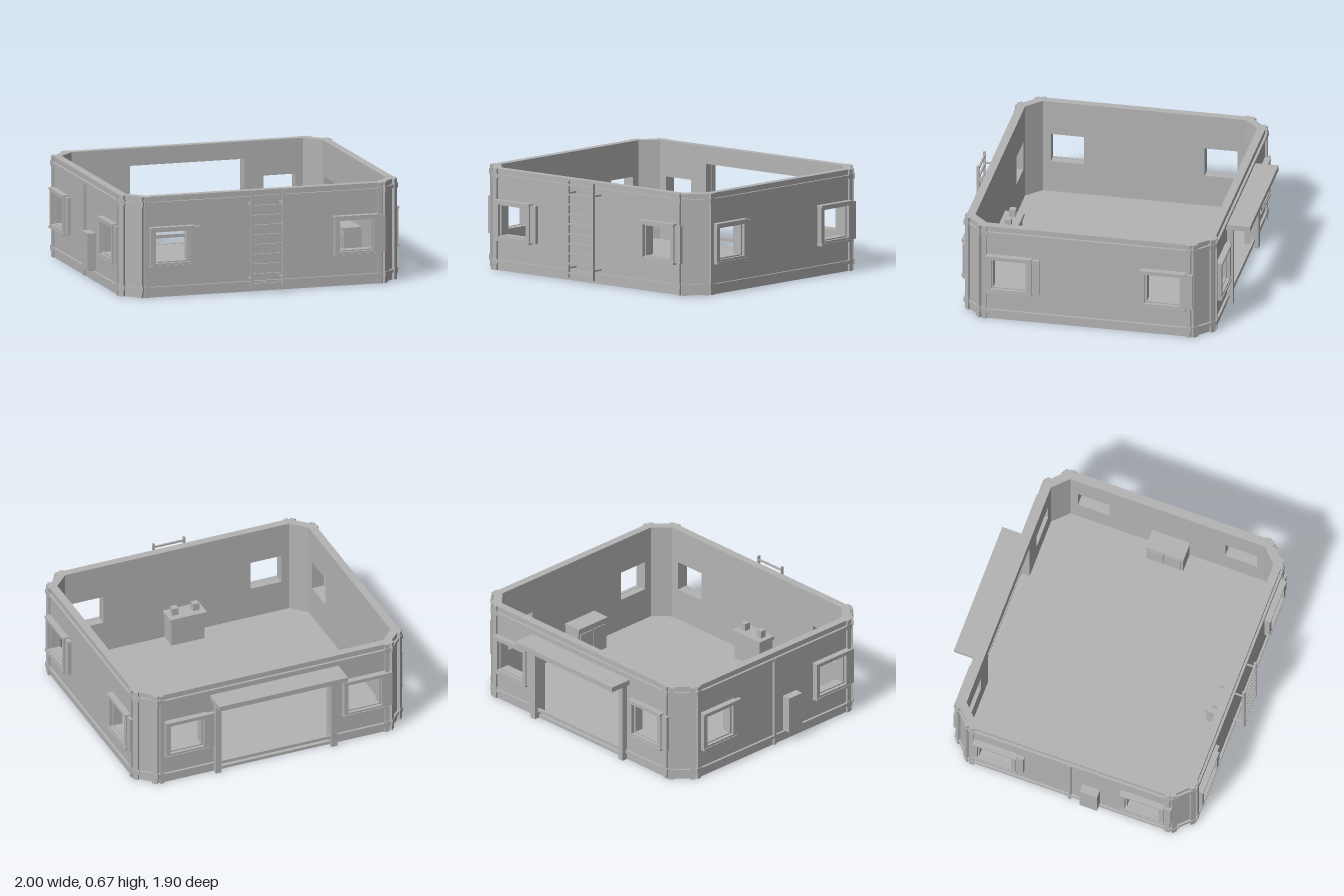
import * as THREE from 'three';

const H = 0.672;              // wall height
const T = 0.054;              // wall thickness
const HX = 0.95, HZ = 0.83;   // half extents of the outer wall faces
const C = 0.13;               // corner cut
const RAILS = [0.06, 0.626];  // heights of the trim rails
const WIN_Y = 0.336;

export function createModel() {
  const grey = new THREE.MeshStandardMaterial({ color: 0xb4b4b4 });
  grey.name = 'grey';

  const add = (parent, name, geo, x = 0, y = 0, z = 0) => {
    const m = new THREE.Mesh(geo, grey);
    m.name = name;
    m.position.set(x, y, z);
    parent.add(m);
    return m;
  };
  const box = (parent, name, w, h, d, x, y, z) =>
    add(parent, name, new THREE.BoxGeometry(w, h, d), x, y, z);
  const group = (parent, name) => {
    const g = new THREE.Group();
    g.name = name;
    parent.add(g);
    return g;
  };
  const rect = (P, x, y, w, h) => new P([
    [x - w / 2, y - h / 2], [x + w / 2, y - h / 2],
    [x + w / 2, y + h / 2], [x - w / 2, y + h / 2],
  ].map(p => new THREE.Vector2(...p)));
  // rectangular plate with rectangular holes [x, y, w, h]
  const plate = (x, y, w, h, holes, depth) => {
    const s = rect(THREE.Shape, x, y, w, h);
    s.holes = holes.map(o => rect(THREE.Path, ...o));
    return new THREE.ExtrudeGeometry(s, { depth, bevelEnabled: false });
  };

  const model = new THREE.Group();
  model.name = 'building';
  const body = group(model, 'body');
  body.position.set(0.008, 0, 0.04);

  // floor slab
  const floorShape = new THREE.Shape([
    [HX - C, HZ], [HX, HZ - C], [HX, C - HZ], [HX - C, -HZ],
    [C - HX, -HZ], [-HX, C - HZ], [-HX, HZ - C], [C - HX, HZ],
  ].map(p => new THREE.Vector2(...p)));
  const floorGeo = new THREE.ExtrudeGeometry(floorShape, { depth: 0.018, bevelEnabled: false });
  floorGeo.rotateX(-Math.PI / 2);
  add(body, 'floor', floorGeo);

  // vertical post with couplers where it meets the rails
  const post = (parent, x, z, w, d) => {
    box(parent, 'post', w, H, d, x, H / 2, z + d / 2);
    for (const y of RAILS) box(parent, 'postCoupler', w + 0.014, 0.034, d + 0.008, x, y, z + d / 2);
  };

  // framed window with ledges and a sliding shutter to its right
  const window_ = (parent, u, z) => {
    const g = group(parent, 'window');
    g.position.set(u, WIN_Y, z);
    add(g, 'outerFrame', plate(0, 0, 0.3, 0.24, [[0, 0, 0.24, 0.212]], 0.036));
    add(g, 'innerFrame', plate(0, 0, 0.245, 0.215, [[0, 0, 0.218, 0.196]], 0.014));
    for (const s of [-1, 1]) box(g, 'ledge', 0.306, 0.015, 0.042, 0, s * 0.127, 0.021);
    box(g, 'shutter', 0.05, 0.25, 0.026, 0.174, 0, 0.013);
  };

  // four sides, each built facing +z and then turned
  const side = (name, angle, half, out, hasDoor) => {
    const g = group(body, name);
    g.rotation.y = angle;
    const L = half - C, winU = half - 0.316;
    const holes = [-winU, winU].map(u => [u, WIN_Y, 0.22, 0.2]);
    if (hasDoor) holes.push([0, 0.288, 0.79, 0.536]);
    add(g, 'wall', plate(0, H / 2, 2 * L, H, holes, T), 0, 0, out - T);
    for (const y of RAILS) box(g, 'rail', 2 * L, 0.021, 0.016, 0, y, out + 0.008);
    for (const s of [-1, 1]) {
      post(g, s * (L - 0.018), out, 0.03, 0.012);
      window_(g, s * winU, out);
    }
    return g;
  };
  const front = side('frontSide', 0, HX, HZ, false);
  side('rightSide', Math.PI / 2, HZ, HX, false);
  const back = side('backSide', Math.PI, HX, HZ, true);
  const left = side('leftSide', -Math.PI / 2, HZ, HX, false);

  // cut corners
  const cw = C * Math.SQRT2;
  for (const sx of [-1, 1]) for (const sz of [-1, 1]) {
    const g = group(body, 'corner');
    g.position.set(sx * (HX - C / 2), 0, sz * (HZ - C / 2));
    g.rotation.y = Math.atan2(sx, sz);
    box(g, 'cornerWall', cw, H, T, 0, H / 2, -T / 2);
    for (const y of RAILS) box(g, 'cornerRail', cw, 0.021, 0.014, 0, y, 0.007);
    for (const s of [-1, 1]) post(g, s * (cw / 2 - 0.024), 0, 0.036, 0.018);
  }

  // ladder on the front
  const ladder = group(front, 'ladder');
  ladder.position.set(0.005, 0, HZ);
  for (const s of [-1, 1]) {
    box(ladder, 'ladderRail', 0.012, 0.642, 0.018, s * 0.109, 0.351, 0.072);
    for (const y of [0.095, 0.59]) box(ladder, 'ladderBracket', 0.01, 0.012, 0.072, s * 0.109, y, 0.036);
  }
  for (let i = 0; i < 10; i++) box(ladder, 'rung', 0.21, 0.012, 0.012, 0, 0.06 + i * 0.065, 0.072);

  // door posts and canopy on the back
  for (const s of [-1, 1]) box(back, 'doorPost', 0.04, 0.556, 0.04, s * 0.413, 0.278, HZ + 0.02);
  box(back, 'canopy', 0.915, 0.035, 0.16, 0, 0.573, HZ + 0.08);

  // pipe and utility box on the left
  box(left, 'pipe', 0.018, 0.62, 0.02, 0.003, 0.316, HX + 0.01);
  box(left, 'utilityBox', 0.122, 0.25, 0.058, 0.15, 0.2, HX + 0.029);
  box(left, 'utilityHandle', 0.012, 0.03, 0.006, 0.18, 0.26, HX + 0.059);

  // cabinet against the right wall
  const cabinet = group(model, 'cabinet');
  cabinet.position.set(0.84, 0, 0.067);
  box(cabinet, 'cabinetBody', 0.122, 0.215, 0.255, 0.004, 0.12, 0);
  box(cabinet, 'cabinetTop', 0.13, 0.02, 0.265, 0, 0.235, 0);
  for (const s of [-1, 1]) box(cabinet, 'cabinetDoor', 0.008, 0.16, 0.105, -0.059, 0.12, s * 0.06);

  // counter with two knobs inside the front wall
  const counter = group(model, 'counter');
  counter.position.set(-0.02, 0, 0.753);
  box(counter, 'counterBase', 0.235, 0.19, 0.122, 0, 0.11, 0.006);
  box(counter, 'counterTop', 0.26, 0.024, 0.134, 0, 0.212, 0);
  for (const x of [-0.073, 0.075]) box(counter, 'counterKnob', 0.043, 0.05, 0.043, x, 0.249, 0);

  return model;
}
